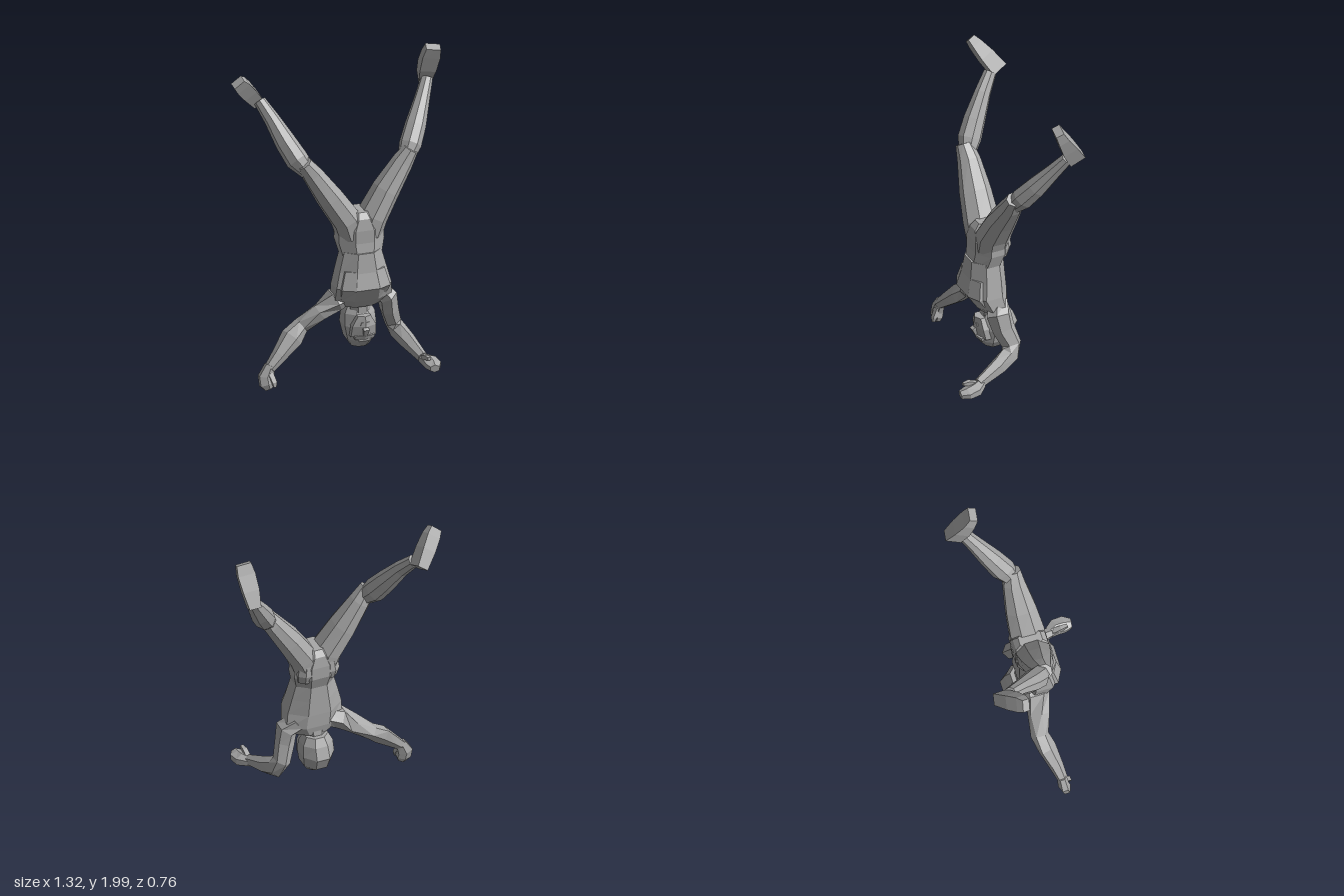
import * as THREE from 'three';

const skin = new THREE.MeshStandardMaterial({ color: 0xa8a8a8, flatShading: true });
skin.name = 'plain grey';

// Faceted limb through sections [x, y, z, halfWidth, halfDepth].
// ref gives the width direction; axis, if set, fixes the section normal.
function loft(name, sections, { ref = [1, 0, 0], sides = 8, axis = null } = {}) {
  const centres = sections.map(s => new THREE.Vector3(s[0], s[1], s[2]));
  const grow = 1 / Math.cos(Math.PI / sides);
  const rings = sections.map((s, i) => {
    const t = axis ? new THREE.Vector3(...axis)
      : centres[Math.min(i + 1, centres.length - 1)].clone().sub(centres[Math.max(i - 1, 0)]);
    t.normalize();
    const u = new THREE.Vector3(...ref);
    u.addScaledVector(t, -u.dot(t)).normalize();
    const v = t.clone().cross(u);
    return Array.from({ length: sides }, (_, j) => {
      const a = (j + 0.5) / sides * Math.PI * 2;
      return centres[i].clone()
        .addScaledVector(u, Math.cos(a) * s[3] * grow)
        .addScaledVector(v, Math.sin(a) * s[4] * grow);
    });
  });
  const points = [];
  const last = rings.length - 1;
  for (let j = 0; j < sides; j++) {
    const k = (j + 1) % sides;
    for (let i = 0; i < last; i++) {
      const [a, b, c, d] = [rings[i][j], rings[i][k], rings[i + 1][k], rings[i + 1][j]];
      points.push(a, b, c, a, c, d);
    }
    points.push(centres[0], rings[0][k], rings[0][j]);
    points.push(centres[last], rings[last][j], rings[last][k]);
  }
  const geometry = new THREE.BufferGeometry().setFromPoints(points);
  geometry.computeVertexNormals();
  const mesh = new THREE.Mesh(geometry, skin);
  mesh.name = name;
  return mesh;
}

export function createModel() {
  const model = new THREE.Group();
  model.name = 'handstandFigure';
  const up = { axis: [0, 1, 0] };

  // Torso, upside down: shoulders low, hips high
  model.add(loft('chest', [
    [0.07, 0.47, 0.01, 0.12, 0.07],
    [0.07, 0.53, 0.03, 0.18, 0.10],
    [0.06, 0.62, 0.06, 0.175, 0.13],
    [0.06, 0.72, 0.05, 0.15, 0.115],
    [0.06, 0.84, 0.045, 0.118, 0.105],
  ], up));
  model.add(loft('pelvis', [
    [0.06, 0.80, 0.045, 0.12, 0.10],
    [0.06, 0.90, 0.02, 0.145, 0.11],
    [0.06, 0.98, 0.02, 0.14, 0.11],
    [0.06, 1.05, 0.02, 0.085, 0.10],
    [0.06, 1.085, 0.02, 0.06, 0.07],
  ], up));
  for (const s of [-1, 1]) {
    const side = s > 0 ? 'left' : 'right';
    model.add(loft(side + 'Pectoral', [
      [0.06 + s * 0.07, 0.54, 0.075, 0.07, 0.04],
      [0.06 + s * 0.075, 0.62, 0.11, 0.08, 0.07],
      [0.06 + s * 0.06, 0.73, 0.095, 0.065, 0.06],
    ], { ...up, sides: 6 }));
    model.add(loft(side + 'Buttock', [
      [0.06 + s * 0.07, 0.87, -0.02, 0.055, 0.05],
      [0.06 + s * 0.07, 0.93, -0.035, 0.065, 0.055],
      [0.06 + s * 0.06, 1.04, -0.03, 0.055, 0.05],
    ], up));
  }

  // Head and neck
  model.add(loft('neck', [
    [0.07, 0.38, -0.01, 0.06, 0.07],
    [0.07, 0.52, 0.0, 0.07, 0.06],
  ], up));
  model.add(loft('skull', [
    [0.07, 0.20, -0.005, 0.055, 0.05],
    [0.07, 0.25, -0.015, 0.085, 0.105],
    [0.07, 0.335, -0.03, 0.1, 0.125],
    [0.07, 0.41, -0.03, 0.095, 0.095],
    [0.07, 0.46, -0.03, 0.07, 0.065],
  ], up));
  model.add(loft('jaw', [
    [0.07, 0.28, 0.045, 0.08, 0.05],
    [0.07, 0.35, 0.06, 0.075, 0.05],
    [0.07, 0.415, 0.07, 0.04, 0.035],
  ], { ...up, sides: 6 }));
  model.add(loft('brow', [
    [0.07, 0.265, 0.08, 0.06, 0.02],
    [0.07, 0.29, 0.085, 0.065, 0.025],
  ], { ...up, sides: 6 }));
  model.add(loft('nose', [
    [0.07, 0.285, 0.1, 0.01, 0.01],
    [0.07, 0.335, 0.115, 0.018, 0.02],
    [0.07, 0.345, 0.105, 0.016, 0.012],
  ], { ...up, sides: 4 }));
  model.add(loft('lips', [
    [0.07, 0.36, 0.1, 0.03, 0.015],
    [0.07, 0.378, 0.1, 0.025, 0.015],
  ], { ...up, sides: 6 }));

  // Thighs, hip to knee
  model.add(loft('leftThigh', [
    [0.11, 0.93, 0.02, 0.085, 0.10],
    [0.145, 1.03, 0.02, 0.085, 0.105],
    [0.235, 1.18, 0.01, 0.077, 0.092],
    [0.345, 1.34, 0.0, 0.06, 0.066],
    [0.395, 1.42, 0.005, 0.045, 0.048],
  ]));
  model.add(loft('rightThigh', [
    [0.01, 0.93, 0.02, 0.085, 0.10],
    [-0.025, 1.03, 0.02, 0.085, 0.105],
    [-0.125, 1.18, 0.01, 0.077, 0.092],
    [-0.23, 1.34, 0.0, 0.06, 0.066],
    [-0.285, 1.42, 0.005, 0.045, 0.048],
  ]));
  // Lower legs, knee to ankle, bent back with the calf behind
  model.add(loft('leftShin', [
    [0.365, 1.355, 0.0, 0.045, 0.045],
    [0.41, 1.425, -0.045, 0.063, 0.07],
    [0.465, 1.52, -0.105, 0.06, 0.064],
    [0.535, 1.65, -0.185, 0.044, 0.048],
    [0.59, 1.755, -0.25, 0.034, 0.038],
  ]));
  model.add(loft('rightShin', [
    [-0.255, 1.355, 0.0, 0.045, 0.045],
    [-0.31, 1.425, -0.045, 0.065, 0.07],
    [-0.36, 1.52, -0.105, 0.06, 0.064],
    [-0.42, 1.65, -0.19, 0.044, 0.048],
    [-0.47, 1.745, -0.265, 0.034, 0.038],
  ]));

  // Feet, heel to toe
  model.add(loft('leftFoot', [
    [0.59, 1.735, -0.31, 0.036, 0.052],
    [0.593, 1.83, -0.255, 0.05, 0.048],
    [0.6, 1.92, -0.207, 0.054, 0.034],
    [0.605, 1.98, -0.178, 0.045, 0.026],
  ], { sides: 4, ref: [0.97, 0, 0.2] }));
  model.add(loft('rightFoot', [
    [-0.475, 1.735, -0.325, 0.037, 0.052],
    [-0.545, 1.815, -0.272, 0.045, 0.046],
    [-0.598, 1.875, -0.232, 0.046, 0.034],
    [-0.63, 1.908, -0.21, 0.038, 0.024],
  ], { sides: 4, ref: [0.65, 0.7, 0.2] }));

  // Arms, shoulder to wrist
  model.add(loft('rightArm', [
    [0.0, 0.54, 0.0, 0.05, 0.06],
    [-0.09, 0.51, 0.01, 0.06, 0.075],
    [-0.18, 0.44, 0.0, 0.05, 0.06],
    [-0.29, 0.36, -0.025, 0.042, 0.048],
    [-0.36, 0.30, 0.0, 0.045, 0.06],
    [-0.45, 0.21, 0.03, 0.036, 0.042],
    [-0.52, 0.14, 0.05, 0.027, 0.03],
  ], { ref: [0.6, 0.8, 0], sides: 6 }));
  model.add(loft('leftArm', [
    [0.17, 0.56, 0.005, 0.05, 0.06],
    [0.235, 0.50, 0.03, 0.055, 0.07],
    [0.255, 0.41, 0.01, 0.05, 0.062],
    [0.29, 0.31, -0.025, 0.045, 0.055],
    [0.315, 0.255, 0.0, 0.045, 0.058],
    [0.345, 0.215, 0.09, 0.042, 0.048],
    [0.385, 0.16, 0.24, 0.028, 0.03],
  ], { sides: 6 }));

  // Hands with thumbs
  model.add(loft('rightHand', [
    [-0.515, 0.16, 0.045, 0.03, 0.025],
    [-0.545, 0.09, 0.05, 0.045, 0.03],
    [-0.54, 0.045, 0.06, 0.045, 0.03],
    [-0.53, 0.015, 0.065, 0.025, 0.02],
  ], { sides: 6 }));
  model.add(loft('rightThumb', [
    [-0.52, 0.11, 0.065, 0.016, 0.014],
    [-0.505, 0.06, 0.095, 0.014, 0.012],
    [-0.505, 0.035, 0.1, 0.008, 0.008],
  ], { sides: 4 }));
  model.add(loft('leftHand', [
    [0.385, 0.155, 0.225, 0.028, 0.026],
    [0.415, 0.145, 0.28, 0.046, 0.034],
    [0.42, 0.14, 0.335, 0.048, 0.028],
    [0.415, 0.135, 0.38, 0.028, 0.022],
  ], { sides: 6 }));
  model.add(loft('leftThumb', [
    [0.385, 0.165, 0.26, 0.016, 0.014],
    [0.385, 0.185, 0.31, 0.014, 0.014],
    [0.39, 0.19, 0.35, 0.009, 0.009],
  ], { sides: 4 }));

  return model;
}
